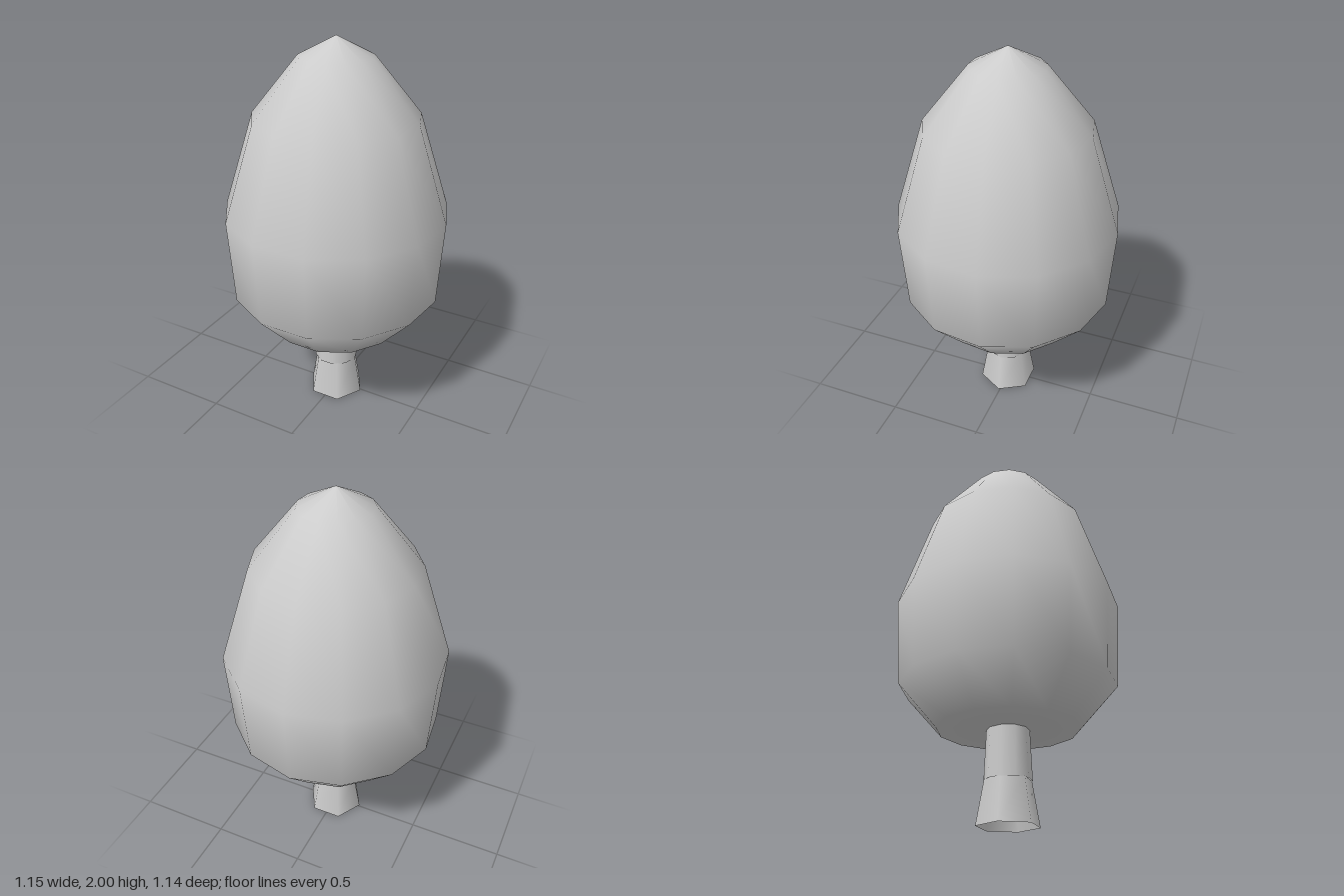
import * as THREE from 'three';

export function createModel() {
  const group = new THREE.Group();
  const material = new THREE.MeshStandardMaterial({ color: 0xcccccc, side: THREE.DoubleSide });

  const add = (name, geometry, y = 0) => {
    const mesh = new THREE.Mesh(geometry, material);
    mesh.name = name;
    mesh.position.set(0, y, 0.008);
    group.add(mesh);
  };

  // Open tapered tube standing between two heights
  const tube = (name, rTop, rBottom, y0, y1, sides) =>
    add(name, new THREE.CylinderGeometry(rTop, rBottom, y1 - y0, sides, 1, true, Math.PI / 2), (y0 + y1) / 2);

  // Egg-shaped foliage, 13 smooth-shaded sides with a flat underside
  const profile = [
    [0, 0.465], [0.357, 0.465], [0.55, 0.68], [0.578, 1.125],
    [0.42, 1.615], [0.185, 1.905], [0, 2],
  ].map(([r, y]) => new THREE.Vector2(r, y));
  add('foliage', new THREE.LatheGeometry(profile, 13, Math.PI));

  // Trunk: slim upper shaft over a flared six-sided foot
  tube('upperTrunk', 0.107, 0.118, 0.215, 0.47, 10);
  tube('trunkFoot', 0.117, 0.156, 0, 0.22, 6);

  return group;
}
